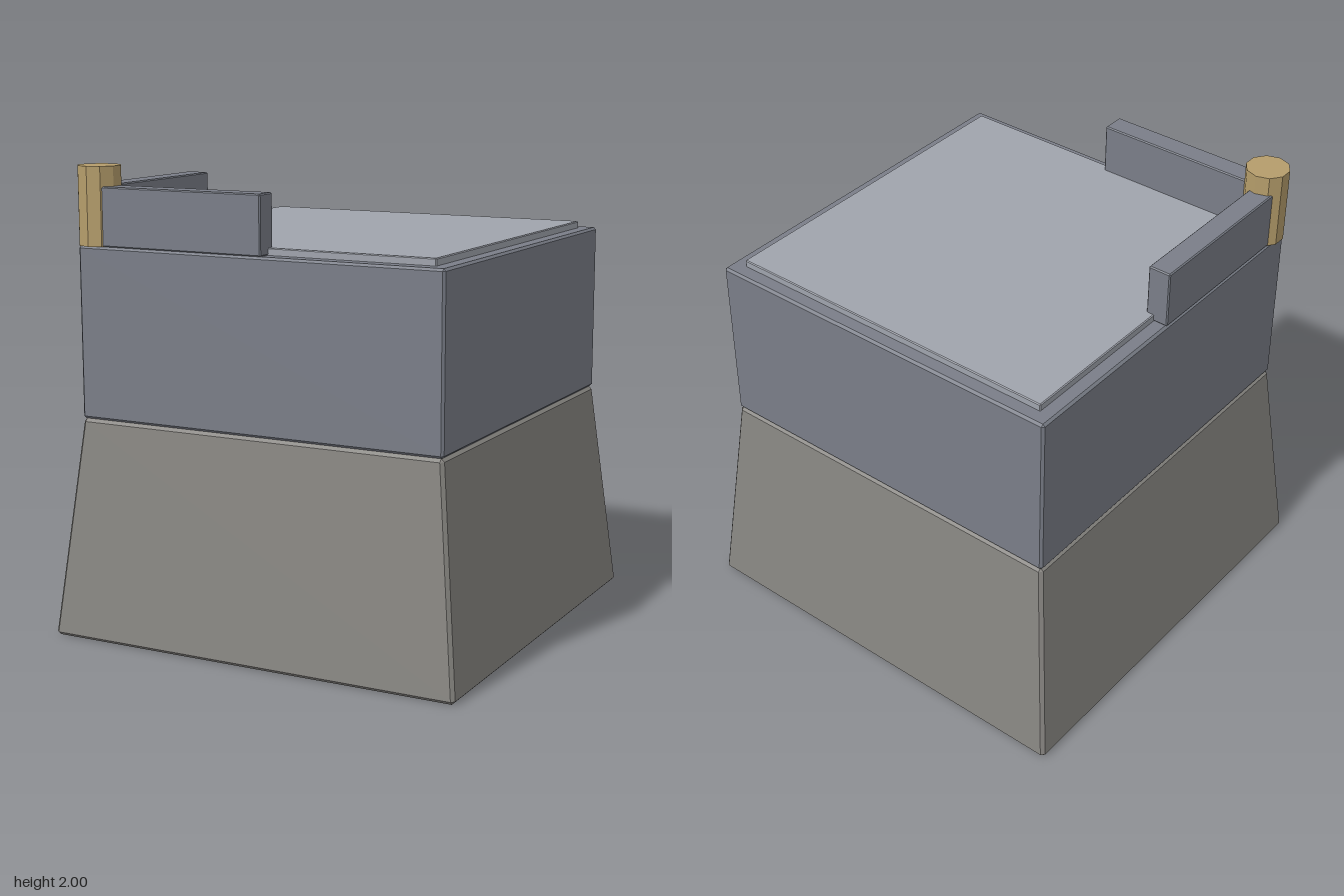
import * as THREE from 'three';

const material = (color) => new THREE.MeshStandardMaterial({ color, flatShading: true });
const base = material(0x878581);
const block = material(0x7a7e88);
const slab = material(0xa0a4ad);
const wood = material(0xb59d6b);

// Box with chamfered edges; the top may be narrower than the bottom.
// Built as four stacked rings, each a rectangle with cut corners.
function chamferBox(name, mat, [x0, x1], [y0, y1], [z0, z1], c, taper = 0) {
  const cx = (x0 + x1) / 2, cz = (z0 + z1) / 2;
  const hx = (x1 - x0) / 2, hz = (z1 - z0) / 2;
  const ring = (y, inset, cut) => {
    const a = hx - inset, b = hz - inset;
    return [[a, b - cut], [a - cut, b], [cut - a, b], [-a, b - cut],
      [-a, cut - b], [cut - a, -b], [a - cut, -b], [a, cut - b]]
      .map(([x, z]) => [cx + x, y, cz + z]);
  };
  const rings = [ring(y0, c, 0), ring(y0 + c, 0, c), ring(y1 - c, taper, c), ring(y1, taper + c, 0)];
  const pos = [];
  const tri = (a, b, d) => pos.push(...a, ...b, ...d);
  const same = (a, b) => a.every((v, i) => Math.abs(v - b[i]) < 1e-9);
  for (let r = 0; r < 3; r++) {
    for (let i = 0; i < 8; i++) {
      const j = (i + 1) % 8, lo = rings[r], hi = rings[r + 1];
      if (!same(lo[i], lo[j])) tri(lo[i], hi[j], lo[j]);
      if (!same(hi[i], hi[j])) tri(lo[i], hi[i], hi[j]);
    }
  }
  // Flat bottom and top, using one point per corner
  const [b0, b1, b2, b3] = [0, 2, 4, 6].map((i) => rings[0][i]);
  const [t0, t1, t2, t3] = [0, 2, 4, 6].map((i) => rings[3][i]);
  tri(b0, b1, b2); tri(b0, b2, b3);
  tri(t0, t2, t1); tri(t0, t3, t2);

  const geo = new THREE.BufferGeometry();
  geo.setAttribute('position', new THREE.Float32BufferAttribute(pos, 3));
  geo.computeVertexNormals();
  const mesh = new THREE.Mesh(geo, mat);
  mesh.name = name;
  return mesh;
}

export function createModel() {
  const model = new THREE.Group();
  model.name = 'cornerTower';

  // Sloped foundation, upright block and thin floor slab
  model.add(chamferBox('foundation', base, [-0.932, 0.932], [0, 0.94], [-0.932, 0.932], 0.014, 0.1));
  model.add(chamferBox('body', block, [-0.832, 0.832], [0.94, 1.67], [-0.832, 0.832], 0.01));
  model.add(chamferBox('floorSlab', slab, [-0.768, 0.768], [1.65, 1.7], [-0.768, 0.768], 0.004));

  // Two low walls meeting at the corner post
  const wallY = [1.67, 1.917];
  model.add(chamferBox('frontWall', block, [-0.765, 0.037], wallY, [0.732, 0.832], 0.005));
  model.add(chamferBox('sideWall', block, [-0.832, -0.732], wallY, [-0.037, 0.765], 0.005));

  // Ten-sided corner post
  const post = new THREE.Mesh(new THREE.CylinderGeometry(0.093, 0.093, 0.33, 10), wood);
  post.name = 'cornerPost';
  post.position.set(-0.765, 1.835, 0.762);
  model.add(post);

  return model;
}
